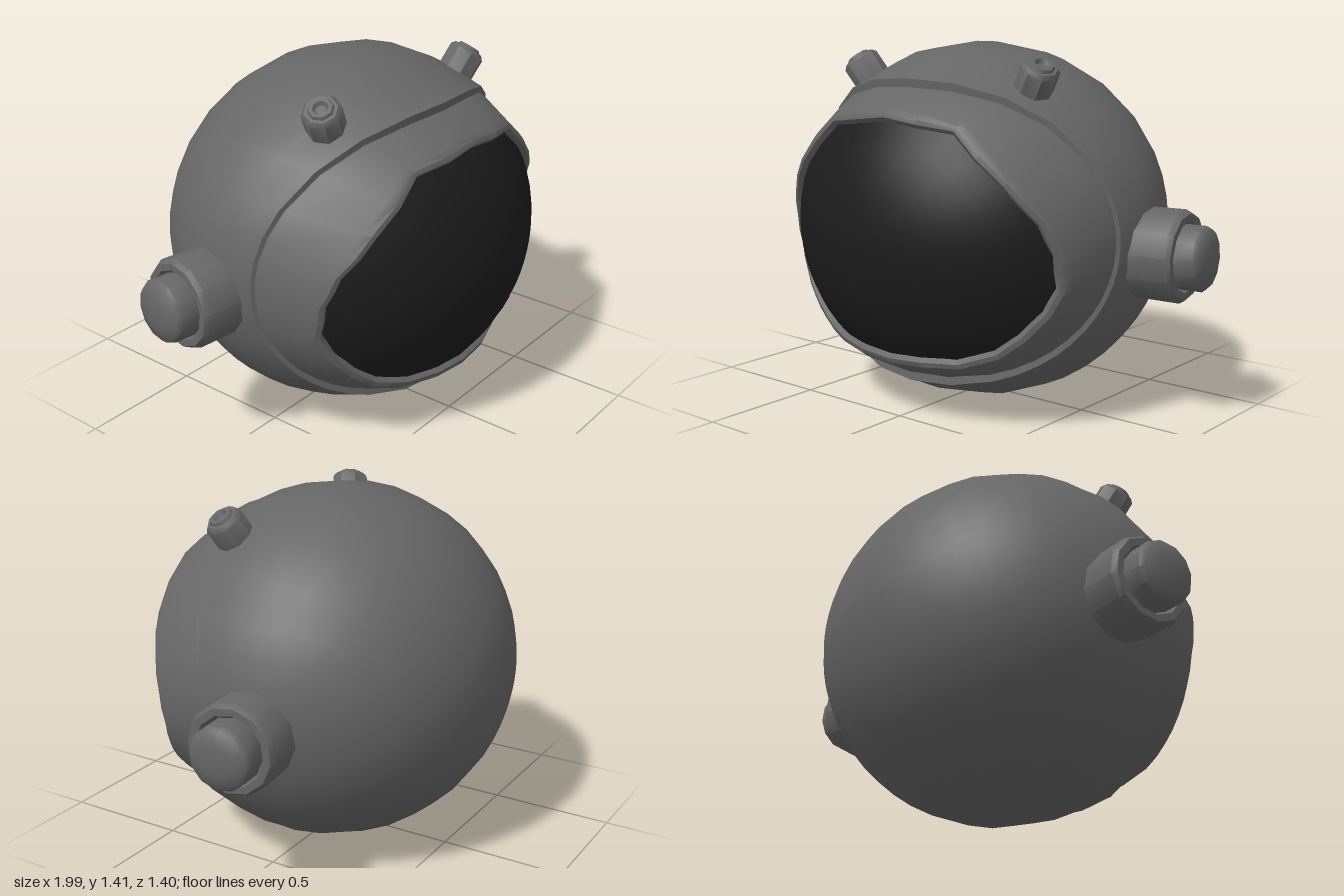
import * as THREE from 'three';
import { toCreasedNormals } from 'three/addons/utils/BufferGeometryUtils.js';

const RX = 0.762, RY = 0.708, RZ = 0.7, CY = 0.713;

// Half of the visor opening seen from the front, top to bottom
const OUTLINE = [
  [0, 1.144], [0.29, 1.11], [0.485, 0.94], [0.595, 0.81], [0.635, 0.7], [0.635, 0.58],
  [0.59, 0.49], [0.51, 0.4], [0.42, 0.33], [0.28, 0.28], [0, 0.265],
];

// Columns around the helmet: direction and polar angle of the opening and of the groove
function makeColumns() {
  const loop = [...OUTLINE, ...OUTLINE.slice(1, -1).reverse().map(([x, y]) => [-x, y])];
  const columns = [];
  loop.forEach(([x, y], i) => {
    const [nx, ny] = loop[(i + 1) % loop.length];
    for (const [px, py] of [[x, y], [(x + nx) / 2, (y + ny) / 2]]) {
      const u = px / RX, v = (py - CY) / RY, r = Math.hypot(u, v);
      const c = u / r, s = v / r;
      columns.push({ c, s, open: Math.asin(r), groove: 0.89 + 0.46 * c * c, step: s * s });
    }
  });
  return columns;
}

// Skin over rings; ring(column) gives [polar angle from the front, radial scale]
function loft(columns, rings) {
  const n = columns.length, pos = [], index = [];
  for (const ring of rings) {
    for (const col of columns) {
      const [t, k] = ring(col);
      pos.push(RX * k * Math.sin(t) * col.c, CY + RY * k * Math.sin(t) * col.s, RZ * k * Math.cos(t));
    }
  }
  for (let r = 0; r < rings.length - 1; r++) {
    for (let i = 0; i < n; i++) {
      const j = (i + 1) % n, a = r * n + i, b = r * n + j;
      index.push(a, a + n, b, b, a + n, b + n);
    }
  }
  const g = new THREE.BufferGeometry();
  g.setAttribute('position', new THREE.Float32BufferAttribute(pos, 3));
  g.setIndex(index);
  // Columns run clockwise from the front, so turn the faces outward
  for (let i = 0; i < index.length; i += 3) {
    const t = index[i + 1];
    g.index.setX(i + 1, index[i + 2]);
    g.index.setX(i + 2, t);
  }
  return g;
}

function turned(points, sides, crease) {
  const profile = points.map(([r, y]) => new THREE.Vector2(r, y));
  return toCreasedNormals(new THREE.LatheGeometry(profile, sides), crease);
}

export function createModel() {
  const shellGrey = new THREE.MeshStandardMaterial({ color: 0x666666 });
  shellGrey.name = 'shellGrey';
  const visorBlack = new THREE.MeshStandardMaterial({ color: 0x1c1c1c });
  visorBlack.name = 'visorBlack';

  const model = new THREE.Group();
  model.name = 'helmet';
  const add = (name, geometry, material) => {
    const mesh = new THREE.Mesh(geometry, material);
    mesh.name = name;
    model.add(mesh);
    return mesh;
  };
  const columns = makeColumns();

  // Raised frame around the visor, running back to the groove
  const frame = loft(columns, [
    (c) => [c.open - 0.005, 0.96],
    (c) => [c.open + 0.005, 1.03],
    (c) => [c.open + 0.03, 1.042],
    (c) => [c.open + 0.075, 1.032],
    (c) => [c.groove - 0.01, 0.993],
    (c) => [c.groove + 0.04, 0.98],
  ]);
  add('visorFrame', toCreasedNormals(frame, 0.7), shellGrey);

  // Round shell behind the groove, with a small step at the front edge
  const shellRings = [
    (c) => [c.groove, 0.97],
    (c) => [c.groove + 0.035, 1.0 + 0.026 * c.step],
    (c) => [c.groove + 0.1, 1.0 + 0.008 * c.step],
  ];
  for (let i = 1; i <= 12; i++) {
    shellRings.push((c) => [THREE.MathUtils.lerp(c.groove + 0.1, Math.PI, i / 12), 1]);
  }
  add('shell', toCreasedNormals(loft(columns, shellRings), 0.7), shellGrey);

  // Dark visor glass
  const glassRings = [];
  for (let i = 0; i <= 8; i++) glassRings.push((c) => [(c.open + 0.03) * i / 8, 1]);
  add('visor', toCreasedNormals(loft(columns, glassRings), 0.7), visorBlack);

  // Ear pods and top knobs, mirrored left and right
  const pod = turned([
    [0.172, -0.3], [0.175, -0.02], [0.162, 0], [0.135, 0], [0.122, -0.02],
    [0.122, 0.065], [0.108, 0.082], [0.06, 0.094], [0, 0.098],
  ], 12, 0.75);
  const knob = turned([
    [0.075, -0.12], [0.075, 0.03], [0.062, 0.045], [0.05, 0.045], [0.044, 0.056],
    [0.03, 0.056], [0.02, 0.042], [0, 0.042],
  ], 8, 0.7);
  const up = new THREE.Vector3(0, 1, 0);
  for (const [side, m] of [['left', 1], ['right', -1]]) {
    const ear = add(side + 'EarPod', pod, shellGrey);
    ear.position.set(0.893 * m, 0.65, -0.1);
    ear.quaternion.setFromUnitVectors(up, new THREE.Vector3(0.993 * m, 0, -0.12).normalize());
    const top = add(side + 'TopKnob', knob, shellGrey);
    top.position.set(0.437 * m, 1.31, 0.215);
    top.quaternion.setFromUnitVectors(up, new THREE.Vector3(0.52 * m, 0.8, 0.22).normalize());
  }
  return model;
}
